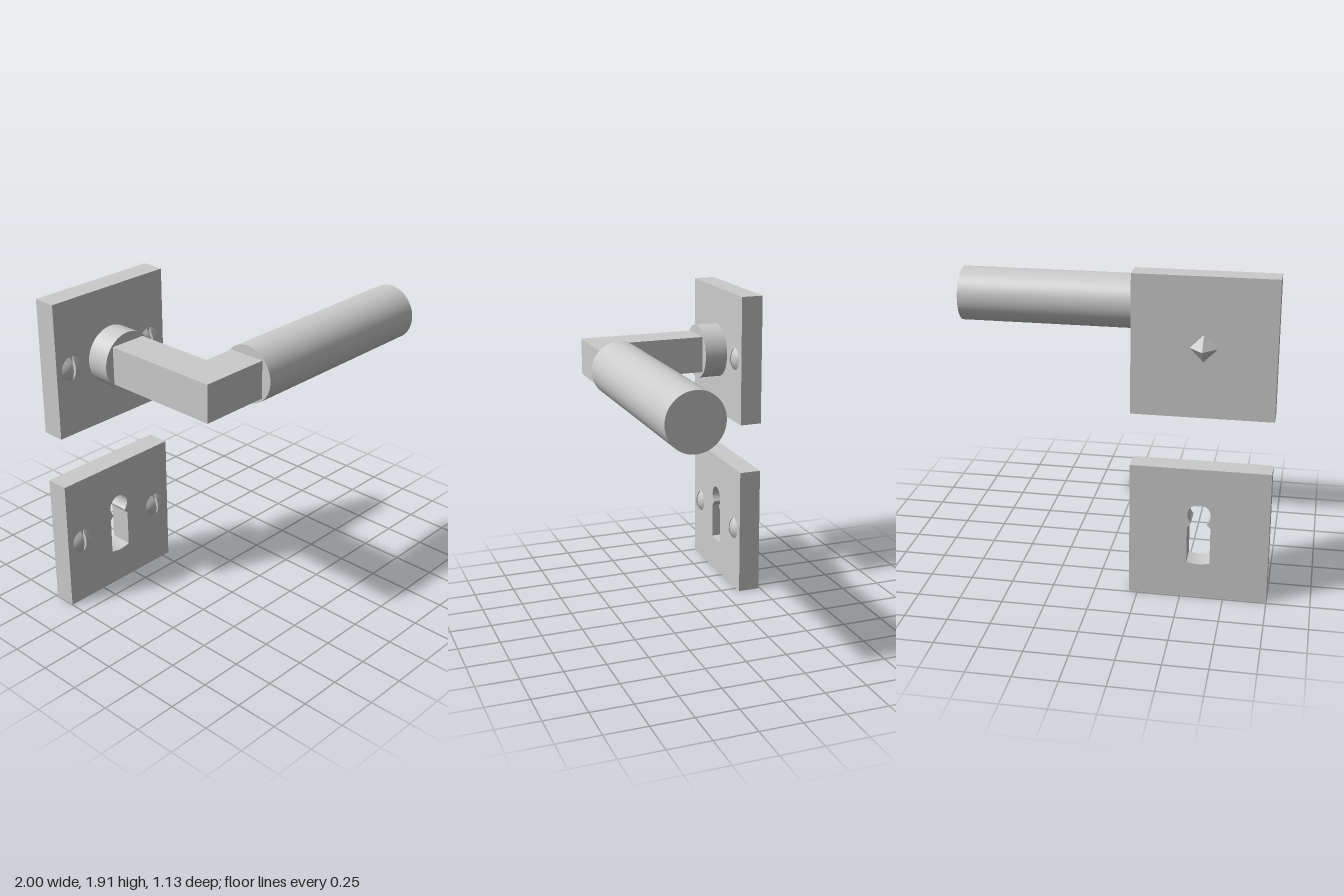
import * as THREE from 'three';

const material = new THREE.MeshStandardMaterial({ color: 0xcccccc });
const thinMaterial = new THREE.MeshStandardMaterial({ color: 0xcccccc, side: THREE.DoubleSide });

const AXIS_X = -0.6, AXIS_Y = 1.51, PLATE_BACK = -0.49, PLATE_FRONT = -0.355;

function addMesh(parent, name, geometry, x = 0, y = 0, z = 0, mat = material) {
  const mesh = new THREE.Mesh(geometry, mat);
  mesh.name = name;
  mesh.position.set(x, y, z);
  parent.add(mesh);
  return mesh;
}

// Square plate, optionally pierced
function plateGeometry(hole) {
  const s = new THREE.Shape();
  s.moveTo(-0.4, -0.4).lineTo(0.4, -0.4).lineTo(0.4, 0.4).lineTo(-0.4, 0.4).closePath();
  if (hole) s.holes.push(hole);
  return new THREE.ExtrudeGeometry(s, { depth: PLATE_FRONT - PLATE_BACK, bevelEnabled: false, curveSegments: 20 });
}

// Keyhole: round top, pinched neck, straight sides, slightly bowed foot
function keyholePath() {
  const p = new THREE.Path();
  p.moveTo(0.067, -0.18);
  p.lineTo(0.067, 0.04);
  p.lineTo(0.047, 0.062);
  p.absarc(0, 0.118, 0.067, -Math.PI / 4, Math.PI * 1.25, false);
  p.lineTo(-0.047, 0.062);
  p.lineTo(-0.067, 0.04);
  p.lineTo(-0.067, -0.18);
  p.quadraticCurveTo(0, -0.2, 0.067, -0.18);
  return p;
}

// Domed screw head made of two halves either side of an open slot
function createScrew(x, y, tilt) {
  const r = 0.07, h = 0.027, gap = 0.008;
  const R = (r * r + h * h) / (2 * h);
  const height = (d) => Math.max(0, Math.sqrt(R * R - d * d) - R + h);
  const profile = [];
  for (let i = 0; i <= 8; i++) {
    const d = r * (1 - i / 8);
    profile.push(new THREE.Vector2(d, height(d)));
  }
  const dome = new THREE.LatheGeometry(profile, 20, 0, Math.PI);
  dome.rotateX(Math.PI / 2);
  const pos = dome.attributes.position;
  for (let i = 0; i < pos.count; i++) {
    const px = gap + pos.getX(i) * (r - gap) / r;
    pos.setX(i, px);
    pos.setZ(i, height(Math.hypot(px, pos.getY(i))));
  }
  dome.computeVertexNormals();

  // Flat wall along the slot
  const wallShape = new THREE.Shape();
  wallShape.moveTo(-r, 0);
  for (let i = 0; i <= 16; i++) {
    const v = r * (i / 8 - 1);
    wallShape.lineTo(v, height(Math.hypot(v, gap)));
  }
  const wall = new THREE.ShapeGeometry(wallShape);
  wall.rotateX(Math.PI / 2).rotateZ(-Math.PI / 2);

  const screw = new THREE.Group();
  screw.name = 'screw';
  for (const turn of [0, Math.PI]) {
    const half = new THREE.Group();
    half.name = 'screwHalf';
    addMesh(half, 'screwDome', dome, 0, 0, 0, thinMaterial);
    addMesh(half, 'screwSlotWall', wall, gap, 0, 0, thinMaterial);
    half.rotation.z = turn;
    screw.add(half);
  }
  screw.position.set(x, y, PLATE_FRONT);
  screw.rotation.z = tilt;
  return screw;
}

export function createModel() {
  const model = new THREE.Group();
  model.name = 'doorHandleSet';

  // Plates and their screws
  addMesh(model, 'handlePlate', plateGeometry(), AXIS_X, AXIS_Y, PLATE_BACK);
  addMesh(model, 'keyholePlate', plateGeometry(keyholePath()), AXIS_X, 0.4, PLATE_BACK);
  for (const y of [AXIS_Y, 0.402]) {
    model.add(createScrew(-0.894, y, 0));
    model.add(createScrew(-0.31, y, 0.1));
  }

  // Round collar between plate and lever
  const collar = new THREE.CylinderGeometry(0.168, 0.168, 0.145, 64);
  collar.rotateX(Math.PI / 2);
  addMesh(model, 'collar', collar, AXIS_X, AXIS_Y, -0.2855);

  // Square-section lever with a mitred right-angle turn, drawn in plan
  const plan = new THREE.Shape();
  plan.moveTo(-0.713, -0.22).lineTo(-0.49, -0.22).lineTo(-0.49, 0.283)
    .lineTo(-0.28, 0.283).lineTo(-0.28, 0.508).lineTo(-0.713, 0.508).closePath();
  const lever = new THREE.ExtrudeGeometry(plan, { depth: 0.224, bevelEnabled: false });
  lever.rotateX(Math.PI / 2);
  addMesh(model, 'leverArm', lever, 0, AXIS_Y + 0.112, 0);

  // Cylindrical grip
  const grip = new THREE.CylinderGeometry(0.168, 0.168, 1.29, 64);
  grip.rotateZ(Math.PI / 2);
  addMesh(model, 'grip', grip, 0.355, AXIS_Y, 0.4);

  // Pointed spindle end behind the plate
  const tip = new THREE.ConeGeometry(0.077, 0.077, 4).toNonIndexed();
  tip.computeVertexNormals();
  tip.rotateX(-Math.PI / 2);
  addMesh(model, 'spindleTip', tip, AXIS_X, AXIS_Y, PLATE_BACK - 0.0385);

  return model;
}
